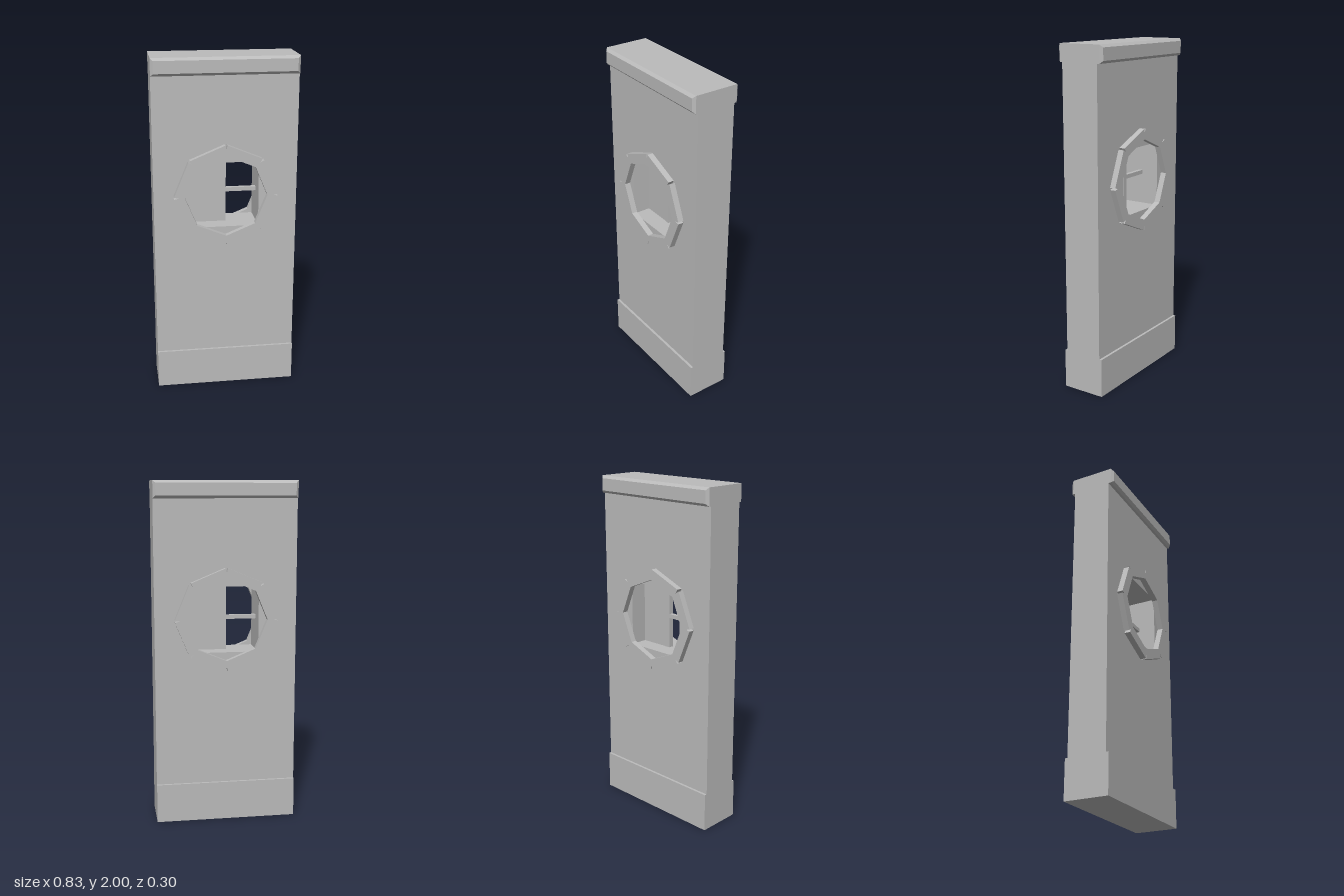
import * as THREE from 'three';

const stone = new THREE.MeshStandardMaterial({ color: 0xbbbbbb });
stone.name = 'grey stone';

const CY = 1.21;     // window centre height
const HALF = 0.192;  // half size of the square opening
const W = 0.414;     // half width of the wall
const D = 0.115;     // half depth of the wall

const polygon = (pts, C = THREE.Shape) => new C(pts.map(([x, y]) => new THREE.Vector2(x, y)));
const rect = (x0, y0, x1, y1, C) => polygon([[x0, y0], [x1, y0], [x1, y1], [x0, y1]], C);
const polar = (r, i) => [r * Math.cos(i * Math.PI / 4), r * Math.sin(i * Math.PI / 4)];

function add(parent, name, geometry, x = 0, y = 0, z = 0) {
  const mesh = new THREE.Mesh(geometry, stone);
  mesh.name = name;
  mesh.position.set(x, y, z);
  parent.add(mesh);
  return mesh;
}

// Octagonal ring with a small notch at each outer corner
function frameGeometry() {
  const pts = [];
  for (let i = 0; i < 8; i++) {
    const c = new THREE.Vector2(...polar(0.302, i));
    const before = c.clone().lerp(new THREE.Vector2(...polar(0.302, i - 1)), 0.03);
    const after = c.clone().lerp(new THREE.Vector2(...polar(0.302, i + 1)), 0.03);
    pts.push([before.x, before.y], polar(0.274, i), [after.x, after.y]);
  }
  const shape = polygon(pts);
  shape.holes.push(polygon([0, 1, 2, 3, 4, 5, 6, 7].map(i => polar(0.238, i)), THREE.Path));
  return new THREE.ExtrudeGeometry(shape, { depth: 0.035, bevelEnabled: false });
}

export function createModel() {
  const model = new THREE.Group();
  model.name = 'wallWithWindow';

  // Wall slab with a square opening
  const wall = rect(-W, 0.23, W, 1.9);
  wall.holes.push(rect(-HALF, CY - HALF, HALF, CY + HALF, THREE.Path));
  add(model, 'wall', new THREE.ExtrudeGeometry(wall, { depth: 2 * D, bevelEnabled: false }), 0, 0, -D);

  // Plinth
  add(model, 'plinth', new THREE.BoxGeometry(2 * W, 0.23, 0.26), 0, 0.115, 0);

  // Chamfered cornice
  const b = 0.015;
  add(model, 'cornice', new THREE.ExtrudeGeometry(rect(-W + b, 1.9 + b, W - b, 2 - b), {
    depth: 0.26, bevelEnabled: true, bevelSize: b, bevelThickness: b, bevelSegments: 1,
  }), 0, 0, -0.13);

  // Window bars
  add(model, 'verticalBar', new THREE.BoxGeometry(0.03, 2 * HALF, 0.03), 0, CY, 0);
  add(model, 'horizontalBar', new THREE.BoxGeometry(2 * HALF, 0.024, 0.024), 0, CY, 0);

  // Each face: raised octagonal frame and a one-sided half pane
  for (const side of ['front', 'back']) {
    const face = new THREE.Group();
    face.name = side + 'Window';
    face.rotation.y = side === 'front' ? 0 : Math.PI;
    add(face, 'frame', frameGeometry(), 0, CY, D);
    add(face, 'halfPane', new THREE.ShapeGeometry(rect(-HALF, -HALF, -0.015, HALF)), 0, CY, 0.013);
    model.add(face);
  }
  return model;
}
